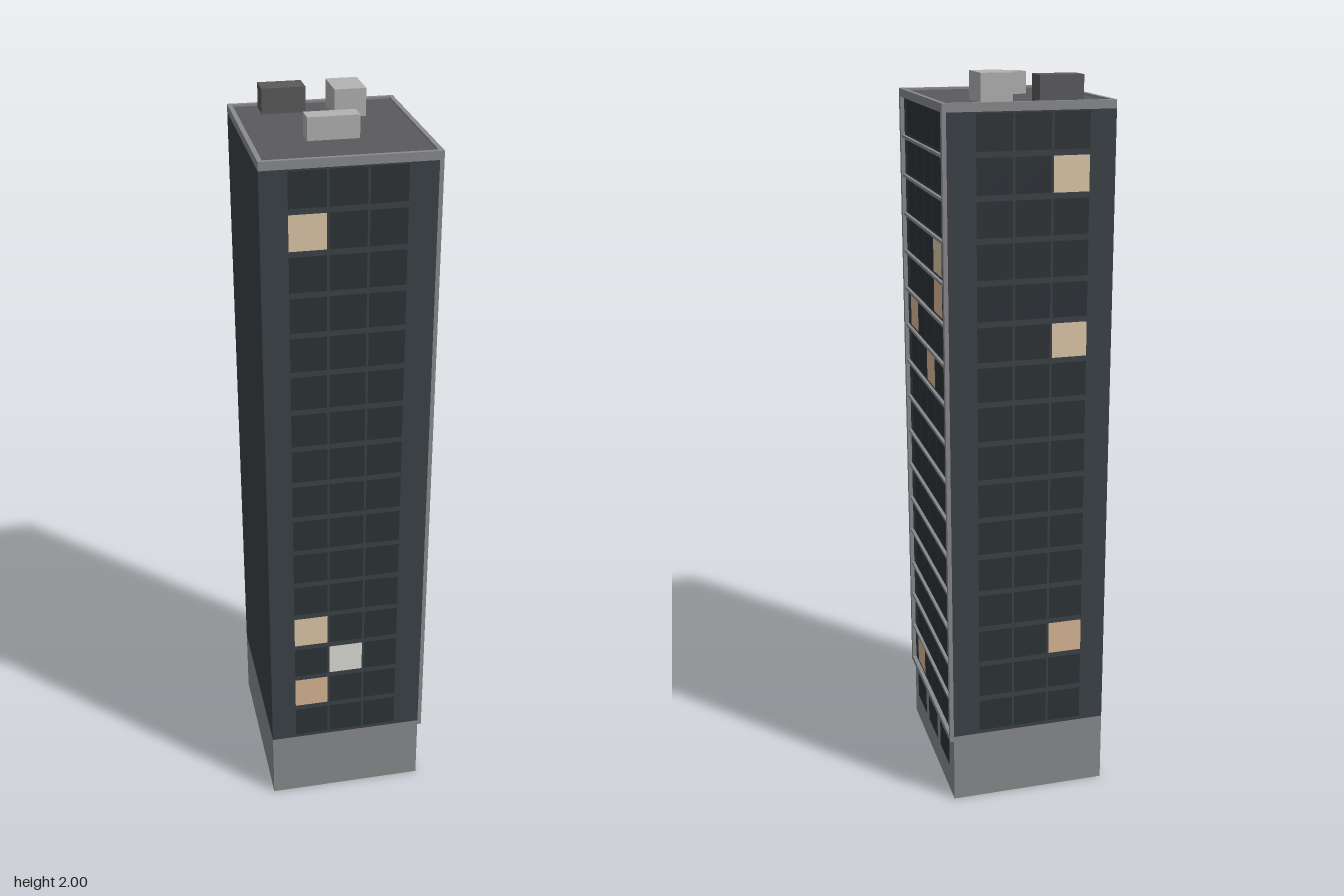
import * as THREE from 'three';

const X0 = -0.224, X1 = 0.213, XF = 0.224, Z = 0.258; // wall planes and frame face
const BASE = 0.2, FLOORS = 16, PITCH = 0.107, TOP = BASE + FLOORS * PITCH, RIM = 1.934;

const mat = (color, side = THREE.FrontSide) =>
  new THREE.MeshStandardMaterial({ color, side, flatShading: true });
const concrete = mat(0x8a8b8d, THREE.DoubleSide);
const wall = mat(0x3b4247);
const glass = mat(0x2d3337);
const roofing = mat(0x5a5a5c);
const metal = mat(0xb2b2b2);
const peach = mat(0xd9b896);
const cream = mat(0xe0c8aa);
const white = mat(0xdcdfd6);

export function createModel() {
  const model = new THREE.Group();
  model.name = 'towerBlock';

  // Box given by its lower and upper corners
  function box(name, material, x0, x1, y0, y1, z0, z1, parent = model) {
    const mesh = new THREE.Mesh(new THREE.BoxGeometry(x1 - x0, y1 - y0, z1 - z0), material);
    mesh.position.set((x0 + x1) / 2, (y0 + y1) / 2, (z0 + z1) / 2);
    mesh.name = name;
    parent.add(mesh);
  }

  // Rectangular ring of walls, open above and below
  function ring(name, material, x0, x1, y0, y1, t) {
    const rect = (C, a, b, c, d) => {
      const s = new C();
      s.moveTo(a, c); s.lineTo(b, c); s.lineTo(b, d); s.lineTo(a, d); s.closePath();
      return s;
    };
    const shape = rect(THREE.Shape, x0, x1, -Z, Z);
    shape.holes.push(rect(THREE.Path, x0 + t, x1 - t, -Z + t, Z - t));
    const geo = new THREE.ExtrudeGeometry(shape, { depth: y1 - y0, bevelEnabled: false });
    geo.rotateX(-Math.PI / 2);
    geo.translate(0, y0, 0);
    const mesh = new THREE.Mesh(geo, material);
    mesh.name = name;
    model.add(mesh);
  }

  // Grid of window panes in the local xy plane; lit maps "column,row" to a material
  function windows(name, columns, lit) {
    const group = new THREE.Group();
    group.name = name;
    const pane = new THREE.PlaneGeometry(0.094, 0.092);
    columns.forEach((x, c) => {
      for (let r = 0; r < FLOORS; r++) {
        const mesh = new THREE.Mesh(pane, lit[`${c},${r}`] || glass);
        mesh.position.set(x, BASE + (r + 0.5) * PITCH + 0.004, 0);
        mesh.name = 'window';
        group.add(mesh);
      }
    });
    model.add(group);
    return group;
  }

  // Hollow ground floor with a dark ceiling, and the tower above it
  ring('groundFloor', concrete, X0, X1, 0, BASE, 0.003);
  box('ceiling', roofing, X0 + 0.003, X1 - 0.003, BASE - 0.004, BASE, -Z + 0.003, Z - 0.003);
  box('tower', wall, X0, X1, BASE, TOP, -Z, Z);

  // Shop windows on the ground floor
  for (const z of [-0.15, 0, 0.15]) {
    const shop = new THREE.Mesh(new THREE.PlaneGeometry(0.115, 0.086), glass);
    shop.position.set(X1 + 0.002, 0.124, z);
    shop.rotation.y = Math.PI / 2;
    shop.name = 'shopWindow';
    model.add(shop);
  }

  // Windows on three sides; the fourth wall is blank
  const cols = [-0.108, -0.008, 0.092];
  const front = windows('frontWindows', cols,
    { '0,14': cream, '0,3': cream, '1,2': white, '0,1': peach });
  front.position.z = Z + 0.002;

  const back = windows('backWindows', cols.map((x) => -x),
    { '0,14': cream, '0,10': cream, '0,2': peach });
  back.rotation.y = Math.PI;
  back.position.z = -Z - 0.002;

  const side = windows('sideWindows', [-0.15, -0.05, 0.05, 0.15],
    { '3,12': cream, '3,11': peach, '0,10': peach, '2,9': peach, '0,0': peach });
  side.rotation.y = Math.PI / 2;
  side.position.x = X1 + 0.002;

  // Frame around the left wall with a ledge at each floor
  const frame = new THREE.Group();
  frame.name = 'sideFrame';
  model.add(frame);
  for (const s of [-1, 1]) {
    const a = s * (Z - 0.015), b = s * Z;
    box('framePost', concrete, X1, XF, 0.185, TOP, Math.min(a, b), Math.max(a, b), frame);
  }
  box('frameSill', concrete, X1, XF, 0.185, BASE, -Z + 0.015, Z - 0.015, frame);
  for (let r = 1; r < FLOORS; r++) {
    const y = BASE + r * PITCH;
    box('floorLedge', concrete, X1, XF - 0.003, y - 0.004, y + 0.004, -Z + 0.015, Z - 0.015, frame);
  }

  // Roof with a low parapet and plant boxes
  ring('parapet', concrete, X0, XF, TOP, RIM, 0.012);
  box('roof', roofing, X0 + 0.012, XF - 0.012, TOP, RIM - 0.006, -Z + 0.012, Z - 0.012);
  const deck = RIM - 0.006;
  box('darkRoofUnit', roofing, -0.147, -0.032, deck, 1.994, -0.228, -0.16);
  box('tallRoofUnit', metal, 0.03, 0.113, deck, 2, -0.207, -0.092);
  box('lowRoofUnit', metal, -0.077, 0.055, deck, 1.986, 0.045, 0.097);

  return model;
}
